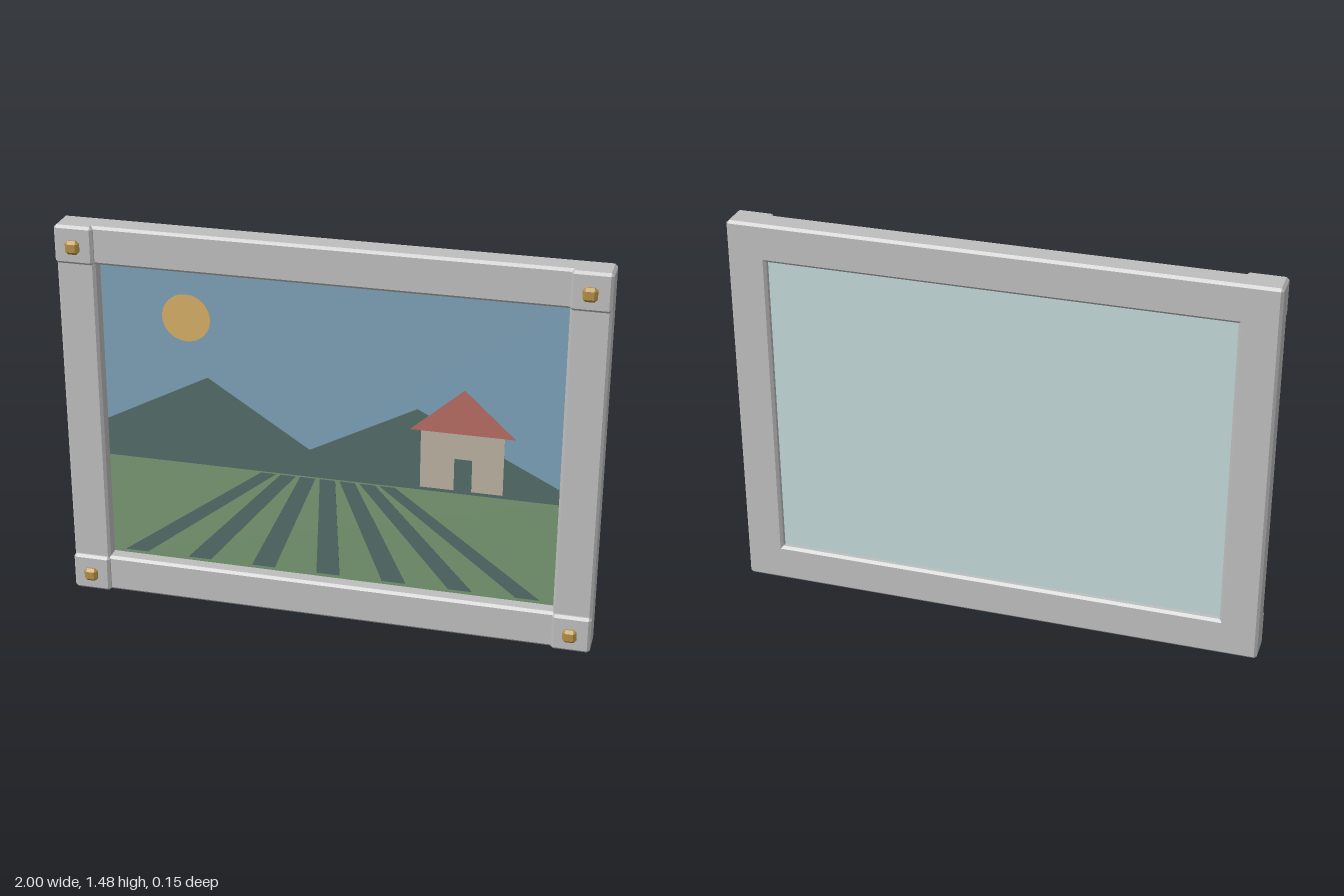
import * as THREE from 'three';
import { ConvexGeometry } from 'three/addons/geometries/ConvexGeometry.js';

const material = (name, color) => {
  const m = new THREE.MeshStandardMaterial({ color });
  m.name = name;
  return m;
};

// Box with flat chamfered edges, given by its min and max corners
function chamferBox(min, max, bevel) {
  const half = max.map((v, i) => (v - min[i]) / 2);
  const points = [];
  for (const sx of [-1, 1]) for (const sy of [-1, 1]) for (const sz of [-1, 1]) {
    for (let axis = 0; axis < 3; axis++) {
      const p = half.map((h, i) => (i === axis ? h : h - bevel));
      points.push(new THREE.Vector3(p[0] * sx, p[1] * sy, p[2] * sz));
    }
  }
  const geo = new ConvexGeometry(points);
  geo.translate(...max.map((v, i) => (v + min[i]) / 2));
  return geo;
}

export function createModel() {
  const model = new THREE.Group();
  model.name = 'framedPicture';

  const grey = material('frame grey', 0xbebebe);
  const brass = material('brass', 0xb48f45);
  const backing = material('pale backing', 0xc2d8d8);
  const sky = material('sky blue', 0x7da1b8);
  const dark = material('dark slate green', 0x536c69);
  const green = material('field green', 0x779772);
  const gold = material('sun gold', 0xd6ae67);
  const red = material('roof red', 0xb66c64);
  const cream = material('wall cream', 0xbab1a1);

  const add = (name, geo, mat, parent = model) => {
    const mesh = new THREE.Mesh(geo, mat);
    mesh.name = name;
    parent.add(mesh);
    return mesh;
  };

  const H = 1.484, IN = 0.855, LOW = 0.145, HIGH = 1.339;
  const BACK = -0.072, FRONT = 0.028, BEVEL = 0.01;

  // Frame rails and stiles
  add('bottomRail', chamferBox([-1, 0, BACK], [1, LOW, FRONT], BEVEL), grey);
  add('topRail', chamferBox([-1, HIGH, BACK], [1, H, FRONT], BEVEL), grey);
  add('rightStile', chamferBox([-1, 0, BACK], [-IN, H, FRONT], BEVEL), grey);
  add('leftStile', chamferBox([IN, 0, BACK], [1, H, FRONT], BEVEL), grey);

  // Raised corner blocks, each with a brass stud
  for (const sx of [-1, 1]) for (const top of [false, true]) {
    const name = (top ? 'top' : 'bottom') + (sx > 0 ? 'Left' : 'Right');
    const x0 = sx > 0 ? IN : -1, y0 = top ? HIGH : 0;
    add(name + 'Corner', chamferBox([x0, y0, -0.03], [x0 + 0.145, y0 + 0.145, 0.044], BEVEL), grey);
    const x = sx * 0.925, y = top ? 1.41 : 0.075;
    add(name + 'Stud', chamferBox([x - 0.026, y - 0.026, 0.044], [x + 0.026, y + 0.026, 0.073], 0.011), brass);
  }

  // Backing board
  const board = new THREE.BoxGeometry(2 * IN + 0.02, HIGH - LOW + 0.02, 0.018);
  board.translate(0, (HIGH + LOW) / 2, -0.038);
  add('backingBoard', board, backing);

  // Painted scene, built as thin stacked plates
  const scene = new THREE.Group();
  scene.name = 'paintedScene';
  model.add(scene);
  const plate = (name, shape, mat, layer) => {
    const geo = new THREE.ExtrudeGeometry(shape, { depth: 0.0015, bevelEnabled: false, curveSegments: 24 });
    geo.translate(0, 0, -0.029 + layer * 0.0015);
    return add(name, geo, mat, scene);
  };
  const poly = (...pts) => new THREE.Shape(pts.map(([x, y]) => new THREE.Vector2(x, y)));
  const rect = (x0, y0, x1, y1) => poly([x0, y0], [x1, y0], [x1, y1], [x0, y1]);

  plate('sky', rect(-0.86, 0.14, 0.86, 1.345), sky, 0);
  plate('sun', new THREE.Shape().absarc(-0.535, 1.145, 0.091, 0, Math.PI * 2), gold, 1);
  plate('mountains', poly([-0.855, 0.56], [0.855, 0.56], [0.855, 0.617], [0.325, 0.88],
    [-0.075, 0.67], [-0.46, 0.917], [-0.855, 0.71]), dark, 1);
  plate('field', rect(-0.855, 0.14, 0.855, 0.563), green, 1);

  // Crop rows fanning towards the viewer
  for (let i = -3; i <= 3; i++) {
    const near = i * 0.253 - 0.005, far = i * 0.075 - 0.007;
    plate('cropRow', poly([near - 0.045, 0.158], [near + 0.045, 0.158],
      [far + 0.029, 0.555], [far - 0.029, 0.555]), dark, 2);
  }

  // Cottage
  plate('cottageWall', rect(0.34, 0.573, 0.645, 0.81), cream, 2);
  plate('cottageDoor', rect(0.465, 0.573, 0.53, 0.70), dark, 3);
  plate('cottageRoof', poly([0.30, 0.80], [0.685, 0.80], [0.495, 0.973]), red, 3);

  return model;
}
